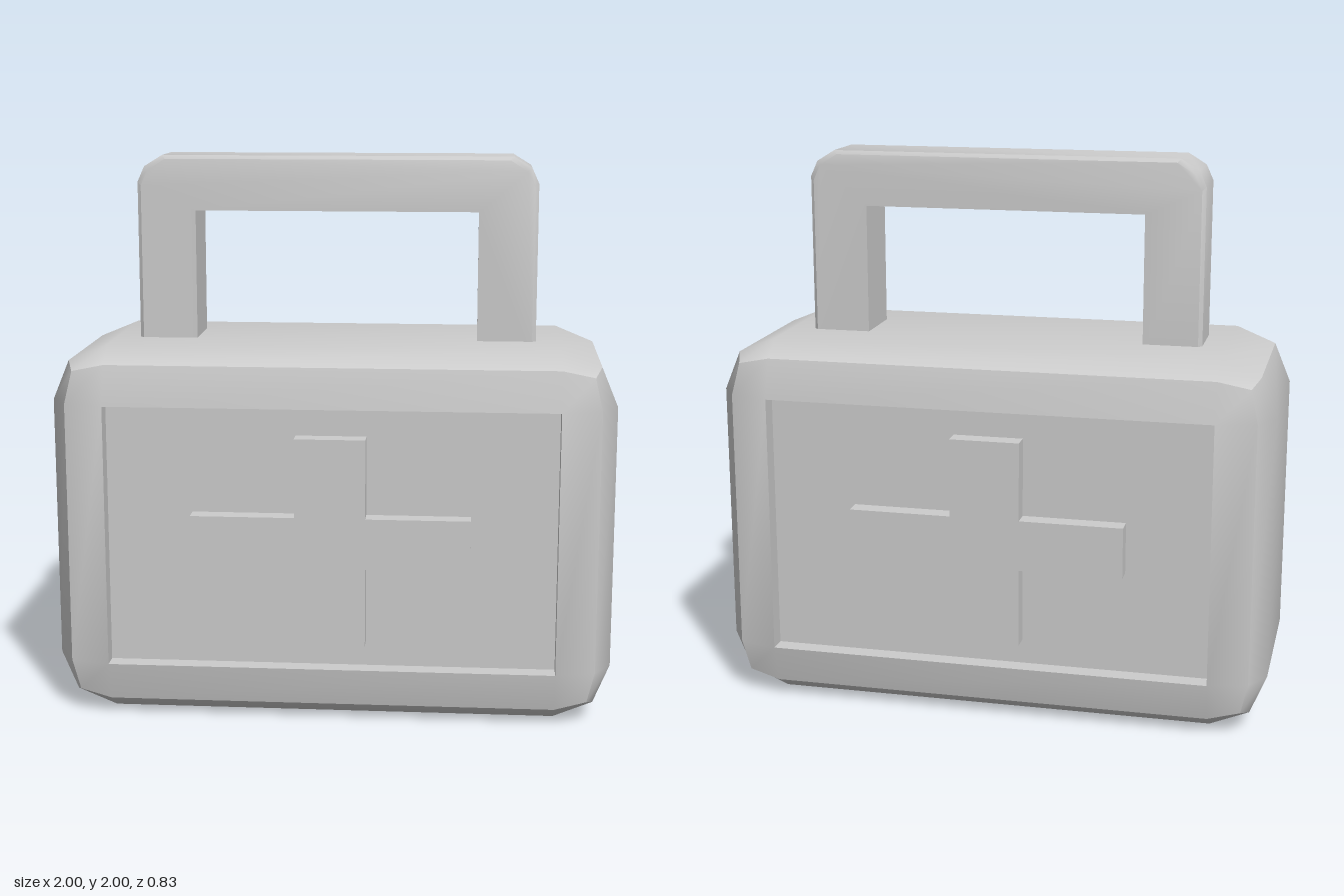
import * as THREE from 'three';
import { toCreasedNormals } from 'three/addons/utils/BufferGeometryUtils.js';

const grey = new THREE.MeshStandardMaterial({ color: 0xcccccc });

function addMesh(parent, name, geometry) {
  const mesh = new THREE.Mesh(geometry, grey);
  mesh.name = name;
  parent.add(mesh);
  return mesh;
}

function polygon(points) {
  return new THREE.Shape(points.map(([x, y]) => new THREE.Vector2(x, y)));
}

const MID_Y = 0.6725;
const CORE = new THREE.Vector3(0.8, 0.4725, 0.287); // half size of the flat part of each side
const BEVEL = new THREE.Vector3(0.2, 0.2, 0.13);
const DEPTH = 0.065; // depth of the recessed panels
const FRONT = CORE.z + BEVEL.z;

// Box with a two-step bevel, open where the front and back panels sit
function bodyGeometry() {
  const geo = new THREE.BoxGeometry(3, 3, 3, 3, 3, 3);
  const pos = geo.attributes.position;
  const p = new THREE.Vector3();
  const inner = (v) => Math.abs(v) < 1;
  const isPanel = (i) => inner(pos.getX(i)) && inner(pos.getY(i)) && !inner(pos.getZ(i));
  const index = [];
  for (let i = 0; i < geo.index.count; i += 3) {
    const tri = [0, 1, 2].map((k) => geo.index.getX(i + k));
    if (!tri.every(isPanel)) index.push(...tri);
  }
  for (let i = 0; i < pos.count; i++) {
    p.fromBufferAttribute(pos, i);
    const sign = new THREE.Vector3(Math.sign(p.x), Math.sign(p.y), Math.sign(p.z));
    const dir = new THREE.Vector3(...p.toArray().map((v) => (inner(v) ? 0 : Math.sign(v))));
    p.copy(CORE).multiply(sign).add(dir.normalize().multiply(BEVEL));
    pos.setXYZ(i, p.x, p.y, p.z);
  }
  geo.setIndex(index);
  geo.clearGroups();
  geo.computeVertexNormals(); // smooth within each side, sharp between sides
  return geo.translate(0, MID_Y, 0);
}

// Floor and inward-facing walls of a panel: a box turned inside out, without its lid
function recessGeometry() {
  const geo = new THREE.BoxGeometry(CORE.x * 2, CORE.y * 2, DEPTH);
  const idx = Array.from(geo.index.array);
  idx.splice(24, 6);
  for (let i = 0; i < idx.length; i += 3) [idx[i], idx[i + 1]] = [idx[i + 1], idx[i]];
  geo.setIndex(idx);
  geo.clearGroups();
  geo.computeVertexNormals();
  return geo.translate(0, MID_Y, FRONT - DEPTH / 2);
}

// Raised cross, level with the rim of the panel
function crossGeometry() {
  const w = 0.125, l = 0.495, y0 = 0.29, y1 = 0.573, y2 = 0.757, y3 = 1.04;
  const shape = polygon([
    [-w, y0], [w, y0], [w, y1], [l, y1], [l, y2], [w, y2],
    [w, y3], [-w, y3], [-w, y2], [-l, y2], [-l, y1], [-w, y1],
  ]);
  return new THREE.ExtrudeGeometry(shape, { depth: DEPTH, bevelEnabled: false })
    .translate(0, 0, FRONT - DEPTH);
}

// U-shaped handle, narrow bevel along its outer edge only
function handleGeometry() {
  const half = [[0.505, 1.805], [0.505, 1.3], [0.715, 1.3], [0.715, 1.905], [0.69, 1.96], [0.625, 2]];
  const mirrored = half.map(([x, y]) => [-x, y]).reverse();
  const geo = new THREE.ExtrudeGeometry(polygon([...half, ...mirrored]), {
    depth: 3, steps: 3, bevelEnabled: false,
  });
  const pos = geo.attributes.position;
  const layers = [-0.113, -0.1, 0.1, 0.113];
  for (let i = 0; i < pos.count; i++) {
    const layer = Math.round(pos.getZ(i));
    const x = pos.getX(i), y = pos.getY(i);
    pos.setZ(i, layers[layer]);
    if ((layer === 0 || layer === 3) && Math.abs(x) > 0.51) {
      pos.setX(i, x * 0.981);
      if (y > 1.85) pos.setY(i, y - 0.013);
    }
  }
  return toCreasedNormals(geo, 0.69);
}

export function createModel() {
  const model = new THREE.Group();
  model.name = 'firstAidCase';
  addMesh(model, 'caseBody', bodyGeometry());
  addMesh(model, 'handle', handleGeometry());

  // Same panel on the front and the back
  for (const side of ['front', 'back']) {
    const panel = new THREE.Group();
    panel.name = side + 'Panel';
    addMesh(panel, side + 'Recess', recessGeometry());
    addMesh(panel, side + 'Cross', crossGeometry());
    if (side === 'back') panel.rotation.y = Math.PI;
    model.add(panel);
  }
  return model;
}
